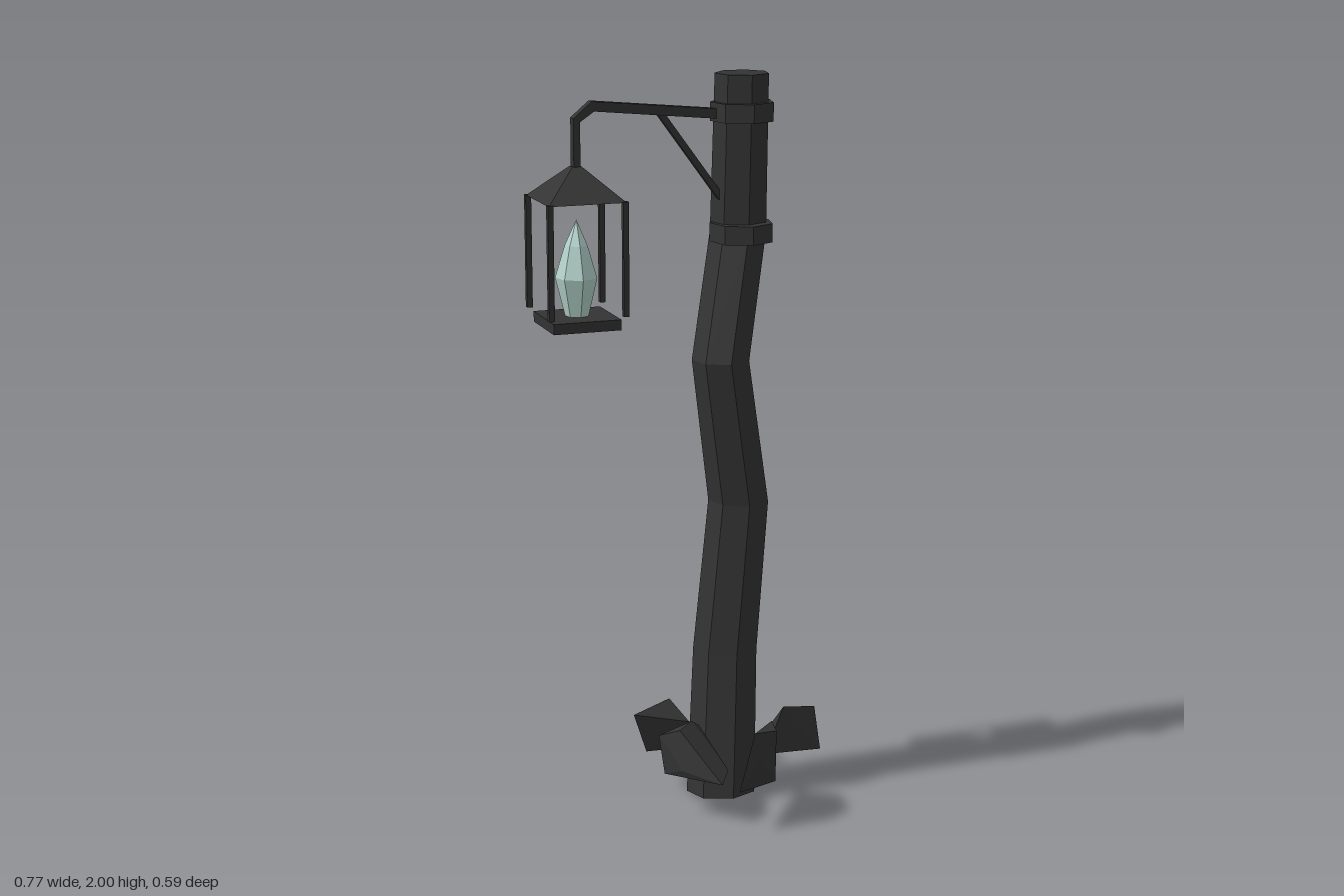
import * as THREE from 'three';
import { ConvexGeometry } from 'three/addons/geometries/ConvexGeometry.js';

export function createModel() {
  const model = new THREE.Group();
  const dark = new THREE.MeshStandardMaterial({ color: 0x333333, flatShading: true });
  dark.name = 'charred wood and iron';
  const glow = new THREE.MeshStandardMaterial({ color: 0xb3d3ca, flatShading: true });
  glow.name = 'pale flame';

  function add(parent, name, geometry, material, x = 0, y = 0, z = 0) {
    const mesh = new THREE.Mesh(geometry, material);
    mesh.name = name;
    mesh.position.set(x, y, z);
    parent.add(mesh);
    return mesh;
  }

  // Crooked seven-sided post; each section is x, y, z, radius from top to bottom
  const sections = [
    [0.179, 2.0, -0.031, 0.073],
    [0.18, 1.58, -0.055, 0.077],
    [0.117, 1.24, -0.015, 0.079],
    [0.177, 0.84, -0.033, 0.084],
    [0.139, 0.42, -0.03, 0.09],
    [0.118, 0.008, -0.002, 0.097],
  ];
  const postGeo = new THREE.CylinderGeometry(1, 1, 1, 7, sections.length - 1);
  const p = postGeo.attributes.position;
  for (let i = 0; i < p.count; i++) {
    const row = Math.round((0.5 - p.getY(i)) * (sections.length - 1));
    const [x, y, z, r] = sections[row];
    const tilt = row === sections.length - 1 ? 0.008 * p.getZ(i) : 0;
    p.setXYZ(i, x + r * p.getX(i), y + tilt, z + r * p.getZ(i));
  }
  add(model, 'post', postGeo, dark);

  // Iron collars
  for (const y of [1.9, 1.58]) {
    add(model, 'collar', new THREE.CylinderGeometry(0.086, 0.086, 0.05, 7), dark, 0.18, y, -0.031);
  }

  // Flat bars cut from side outlines
  const lanternX = -0.279, lanternZ = -0.034;
  function bar(name, outline, depth) {
    const shape = new THREE.Shape(outline.map(([x, y]) => new THREE.Vector2(x, y)));
    const geo = new THREE.ExtrudeGeometry(shape, { depth, bevelEnabled: false });
    add(model, name, geo, dark, 0, 0, lanternZ - depth / 2);
  }
  bar('arm', [
    [0.14, 1.88], [0.14, 1.906], [-0.238, 1.942], [-0.288, 1.9],
    [-0.288, 1.755], [-0.27, 1.755], [-0.27, 1.89], [-0.232, 1.916],
  ], 0.027);
  bar('brace', [[-0.057, 1.9], [0.12, 1.66], [0.134, 1.67], [-0.036, 1.9]], 0.018);

  // Lantern
  const lantern = new THREE.Group();
  lantern.name = 'lantern';
  lantern.position.set(lanternX, 0, lanternZ);
  model.add(lantern);
  const roof = add(lantern, 'lanternRoof',
    new THREE.CylinderGeometry(0.018, 0.148, 0.085, 4), dark, 0, 1.733, 0);
  roof.rotation.y = Math.PI / 4;
  for (const sx of [-1, 1]) {
    for (const sz of [-1, 1]) {
      add(lantern, 'lanternRod', new THREE.BoxGeometry(0.015, 0.3, 0.015), dark,
        sx * 0.101, 1.543, sz * 0.101);
    }
  }
  add(lantern, 'lanternBase', new THREE.BoxGeometry(0.184, 0.028, 0.184), dark, 0, 1.369, 0);

  // Faceted flame
  const flameProfile = [[0, 1.383], [0.032, 1.383], [0.057, 1.485], [0.031, 1.57], [0, 1.637]]
    .map(([r, y]) => new THREE.Vector2(r, y));
  add(lantern, 'flame', new THREE.LatheGeometry(flameProfile, 7), glow);

  // Angular rocks around the foot
  const rocks = [
    [[-0.118, 0.235, -0.065], [-0.08, 0.2, -0.12], [0, 0.13, -0.19], [0.03, 0.16, -0.13],
      [0.055, 0.12, -0.06], [0, 0.255, -0.105], [-0.08, 0.12, -0.07], [0.04, 0.2, -0.05]],
    [[0.1, 0.24, -0.145], [0.125, 0.22, -0.19], [0.255, 0.12, -0.295], [0.255, 0.13, -0.215],
      [0.195, 0.12, -0.14], [0.17, 0.243, -0.135], [0.12, 0.12, -0.15]],
    [[0.385, 0.12, 0.073], [0.37, 0.245, 0.062], [0.275, 0.257, 0.068], [0.225, 0.12, 0.06],
      [0.28, 0.12, -0.09], [0.325, 0.14, -0.04]],
    [[0.06, 0.12, 0.293], [0.105, 0.28, 0.287], [0.12, 0.2, 0.287], [0.182, 0.265, 0.25],
      [0.212, 0.25, 0.14], [0.22, 0.12, 0.068], [0.18, 0.12, 0.25]],
    [[-0.095, 0.225, 0.08], [-0.085, 0.12, 0.1], [-0.05, 0.25, 0.125], [-0.05, 0.14, 0.145],
      [0.035, 0.12, 0.23], [0.07, 0.14, 0.18], [0.03, 0.23, 0.055], [0, 0.255, 0.08],
      [0.02, 0.12, 0.06]],
  ];
  for (const points of rocks) {
    add(model, 'rock', new ConvexGeometry(points.map((q) => new THREE.Vector3(...q))), dark);
  }

  return model;
}
